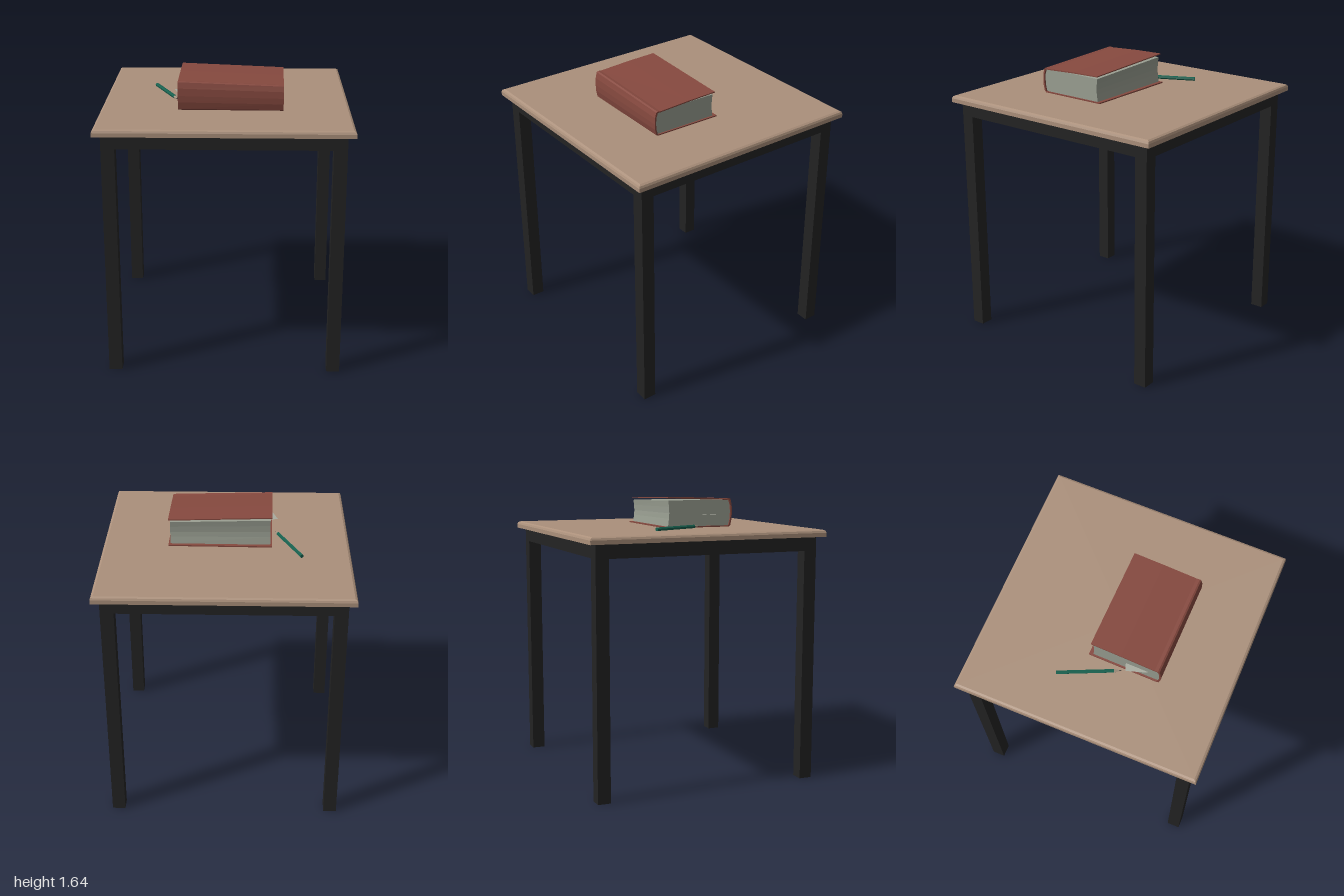
import * as THREE from 'three';

const material = (name, color, side = THREE.FrontSide) => {
  const m = new THREE.MeshStandardMaterial({ color, side });
  m.name = name;
  return m;
};

export function createModel() {
  const wood = material('tan wood', 0xab907b);
  const frame = material('black frame', 0x232323);
  const red = material('red cover', 0x86493f);
  const paper = material('grey paper', 0x9a9f92);
  const note = material('pale bookmark', 0xa9aca0, THREE.DoubleSide);
  const green = material('green pencil', 0x17614f);
  const tipWood = material('pencil tip wood', 0xa59482);
  const lead = material('pencil lead', 0x2b2b2b);

  const model = new THREE.Group();
  const add = (parent, name, geometry, mat, x = 0, y = 0, z = 0) => {
    const mesh = new THREE.Mesh(geometry, mat);
    mesh.name = name;
    mesh.position.set(x, y, z);
    parent.add(mesh);
    return mesh;
  };
  const faceted = (geometry) => {
    const g = geometry.index ? geometry.toNonIndexed() : geometry;
    g.computeVertexNormals();
    return g;
  };

  // Table, turned so that one corner points forward
  const table = new THREE.Group();
  table.name = 'table';
  table.rotation.y = -0.7355;
  model.add(table);

  // Square top with a chamfered upper edge: a four-sided lathe
  const topProfile = [[0, 1.42], [0.708, 1.42], [0.708, 1.443], [0.703, 1.454], [0.692, 1.46], [0, 1.46]]
    .map(([h, y]) => new THREE.Vector2(h * Math.SQRT2, y));
  add(table, 'tabletop', faceted(new THREE.LatheGeometry(topProfile, 4).rotateY(Math.PI / 4)), wood);

  // Four legs and the four rails between them
  const leg = 0.075, c = 0.628, rail = 2 * c - leg;
  for (const s of [-1, 1]) {
    for (const t of [-1, 1]) {
      add(table, 'leg', new THREE.BoxGeometry(leg, 1.42, leg), frame, s * c, 0.71, t * c);
    }
    add(table, 'longRail', new THREE.BoxGeometry(rail, 0.08, leg), frame, 0, 1.38, s * c);
    add(table, 'sideRail', new THREE.BoxGeometry(leg, 0.08, rail), frame, s * c, 1.38, 0);
  }

  // Book: cross-sections drawn from spine (-) to fore edge (+), extruded along the spine
  const book = new THREE.Group();
  book.name = 'book';
  book.position.set(-0.055, 1.461, 0.11);
  book.rotation.y = -0.75;
  model.add(book);

  const bookPart = (points, length) => {
    const shape = new THREE.Shape(points.map(([x, y]) => new THREE.Vector2(x, y)));
    const g = new THREE.ExtrudeGeometry(shape, { depth: length, bevelEnabled: false });
    g.translate(0, 0, -length / 2).rotateY(Math.PI / 2);
    // The thickness falls off slightly along the spine
    const p = g.attributes.position;
    for (let i = 0; i < p.count; i++) {
      p.setY(i, p.getY(i) * (1 - 0.22 * p.getX(i)));
    }
    return faceted(g);
  };

  add(book, 'bookCover', bookPart([
    [0.212, 0], [-0.192, 0], [-0.203, 0.008], [-0.211, 0.045], [-0.213, 0.08], [-0.211, 0.12],
    [-0.203, 0.152], [-0.194, 0.157], [-0.175, 0.154], [0.02, 0.164], [0.195, 0.168],
    [0.195, 0.162], [0.02, 0.157], [-0.175, 0.147], [-0.192, 0.148], [-0.202, 0.118],
    [-0.204, 0.08], [-0.202, 0.045], [-0.192, 0.007], [0.212, 0.007],
  ], 0.594), red);

  add(book, 'pages', bookPart([
    [-0.192, 0.007], [0.19, 0.007], [0.184, 0.05], [0.182, 0.08], [0.184, 0.115], [0.188, 0.148],
    [0, 0.15], [-0.175, 0.147], [-0.192, 0.147], [-0.202, 0.118], [-0.204, 0.08], [-0.202, 0.045],
  ], 0.574), paper);

  // Loose corner of paper poking out of the page block
  const corner = new THREE.Shape([[-0.36, 0.01], [-0.31, -0.1], [-0.273, -0.085], [-0.25, -0.06], [-0.3, 0.03]]
    .map(([x, z]) => new THREE.Vector2(x, z)));
  add(model, 'bookmark', new THREE.ShapeGeometry(corner).rotateX(Math.PI / 2), note, 0, 1.535, 0);

  // Hexagonal pencil lying on the tabletop, tip towards the book
  const pencil = new THREE.Group();
  pencil.name = 'pencil';
  const end = new THREE.Vector3(-0.17, 1.47, -0.45);
  const tip = new THREE.Vector3(-0.28, 1.47, -0.11);
  const dir = tip.clone().sub(end).normalize();
  pencil.position.copy(end);
  pencil.quaternion.setFromUnitVectors(new THREE.Vector3(0, 1, 0), dir);
  model.add(pencil);
  const barrel = (name, r0, r1, y0, y1, mat) => add(pencil, name,
    faceted(new THREE.CylinderGeometry(r1, r0, y1 - y0, 6)), mat, 0, (y0 + y1) / 2, 0);
  barrel('pencilBody', 0.011, 0.011, 0, 0.315, green);
  barrel('pencilCone', 0.011, 0.004, 0.315, 0.345, tipWood);
  barrel('pencilLead', 0.004, 0.0005, 0.345, 0.357, lead);

  return model;
}
